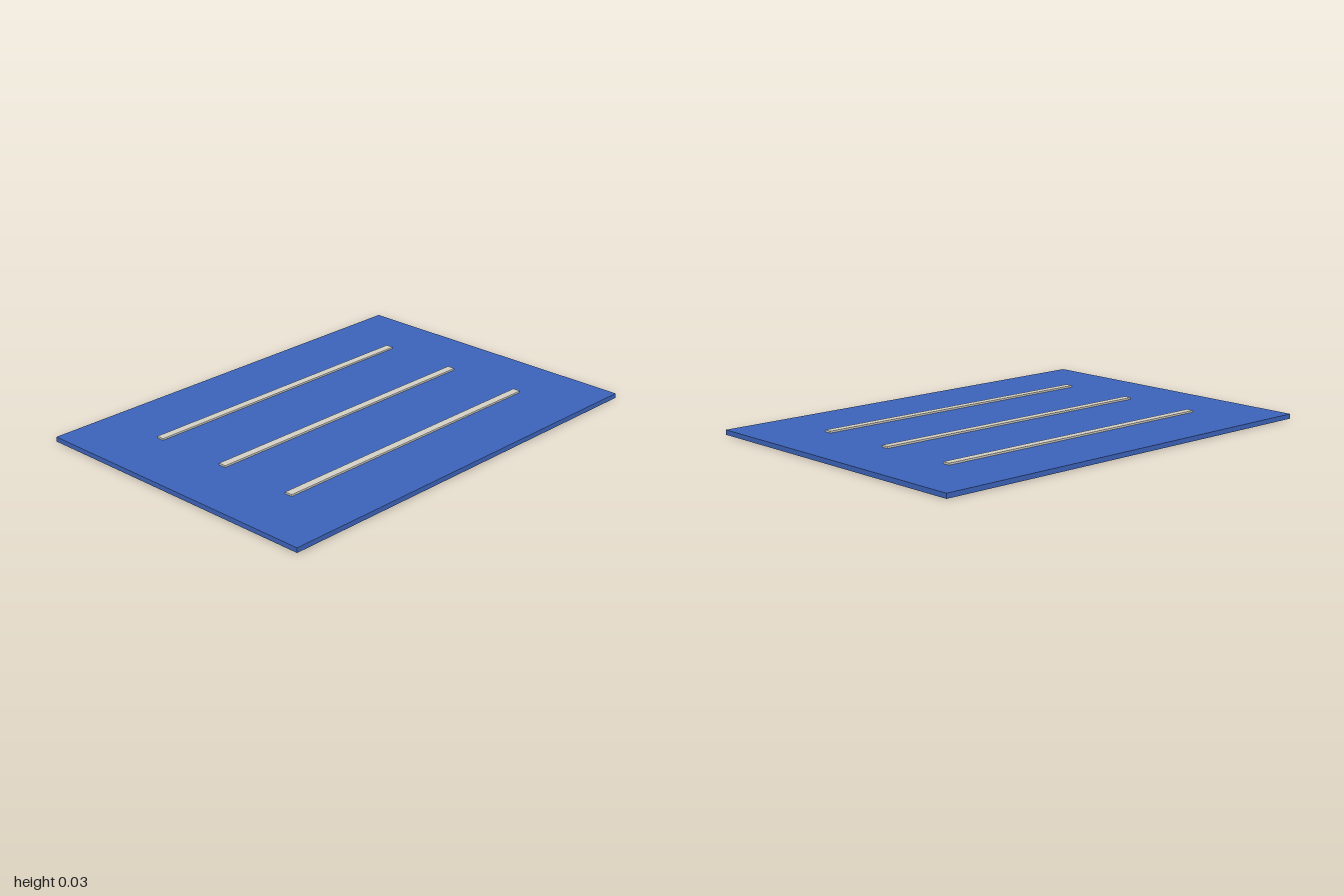
import * as THREE from 'three';

const BASE_HEIGHT = 0.0214;
const BAR_TOP = 0.0293;

function box(name, width, height, depth, material) {
  const mesh = new THREE.Mesh(new THREE.BoxGeometry(width, height, depth), material);
  mesh.name = name;
  return mesh;
}

export function createModel() {
  const model = new THREE.Group();
  model.name = 'ribbedMat';

  const blue = new THREE.MeshStandardMaterial({ color: 0x3c62b8 });
  const cream = new THREE.MeshStandardMaterial({ color: 0xd2cfc4 });

  // Flat rectangular base
  const base = box('base', 2, BASE_HEIGHT, 1.428, blue);
  base.position.y = BASE_HEIGHT / 2;
  model.add(base);

  // Three raised strips running along x, seated slightly into the base
  const barBottom = BASE_HEIGHT - 0.006;
  const barHeight = BAR_TOP - barBottom;
  const strips = [['backStrip', -0.381], ['middleStrip', 0], ['frontStrip', 0.381]];
  for (const [name, z] of strips) {
    const strip = box(name, 1.428, barHeight, 0.036, cream);
    strip.position.set(0, barBottom + barHeight / 2, z);
    model.add(strip);
  }

  return model;
}
